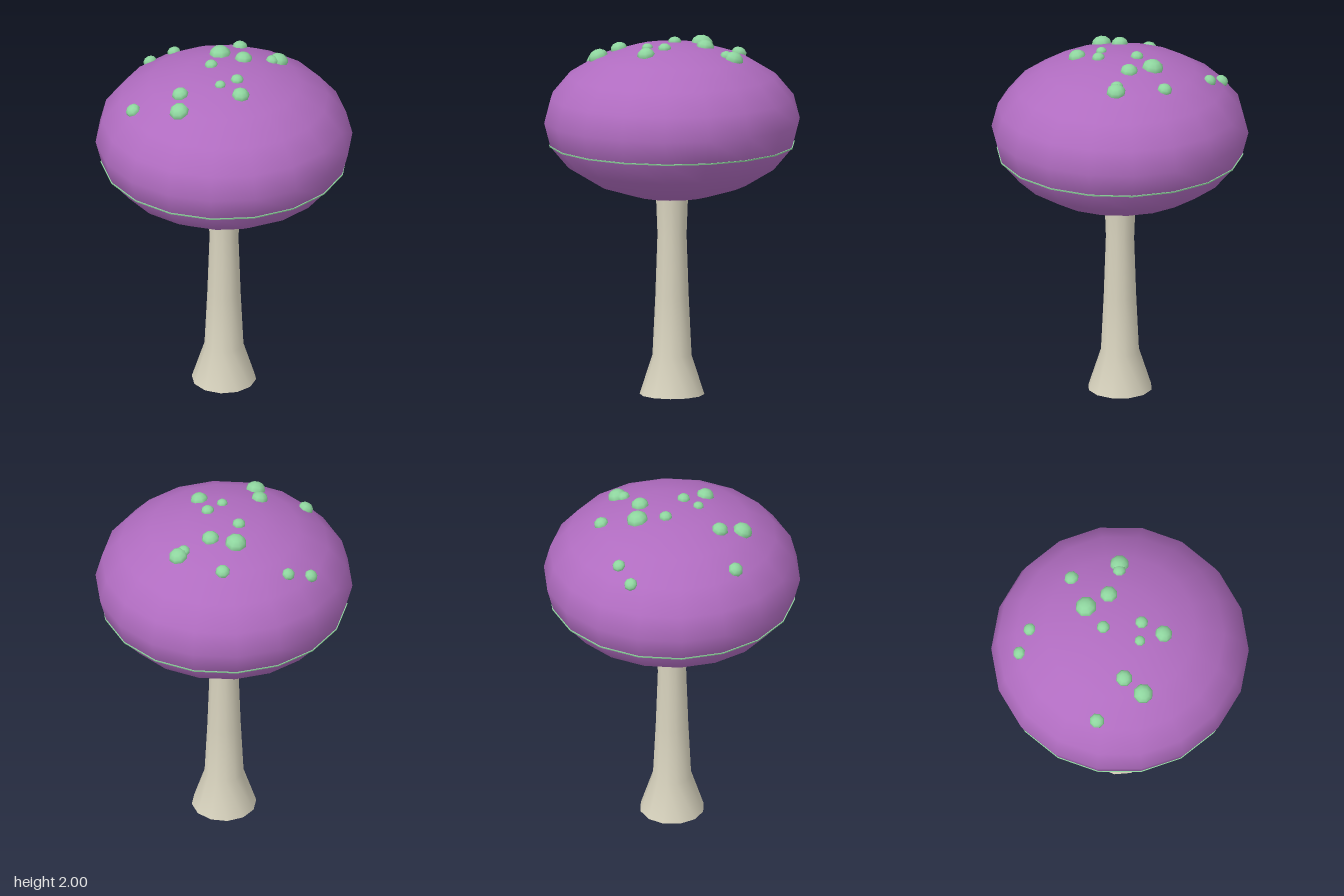
import * as THREE from 'three';

const material = (name, color, extra = {}) => {
  const m = new THREE.MeshStandardMaterial({ color, ...extra });
  m.name = name;
  return m;
};

const CAP_Y = 1.54, CAP_R = 0.715, CAP_H = 0.435;

export function createModel() {
  const purple = material('cap purple', 0xb06cc0);
  const green = material('spot green', 0x8fd69f);
  const cream = material('stem cream', 0xd8d3be);
  const group = new THREE.Group();
  const add = (name, geometry, mat) => {
    const mesh = new THREE.Mesh(geometry, mat);
    mesh.name = name;
    group.add(mesh);
    return mesh;
  };

  // Flared stem: closed base, top buried in the cap
  const profile = [[0.18, 0], [0.109, 0.22], [0.093, 0.55], [0.081, 0.9], [0.089, 1.11], [0.09, 1.18]]
    .map(([r, y]) => new THREE.Vector2(r, y));
  add('stem', new THREE.LatheGeometry(profile, 12), cream);
  const base = add('stemBase', new THREE.CircleGeometry(0.18, 12), cream);
  base.rotation.set(Math.PI / 2, 0, Math.PI / 2);

  // Flattened cap, with a corner on the z axis
  const cap = new THREE.SphereGeometry(CAP_R, 18, 10);
  cap.rotateY(Math.PI / 2);
  cap.scale(1, CAP_H / CAP_R, 1);
  cap.translate(0, CAP_Y, 0);
  add('cap', cap, purple);

  // Thin rim line under the widest part
  const rim = add('capRim', new THREE.CylinderGeometry(0.687, 0.685, 0.008, 18), green);
  rim.position.y = 1.408;

  // Spots as [x, z, radius], seated on the cap and tilted along its normal
  const spots = [
    [0.08, -0.565, 0.038], [0.175, -0.47, 0.037], [-0.45, -0.297, 0.043],
    [-0.30, -0.083, 0.047], [-0.41, -0.01, 0.056], [0.01, -0.095, 0.037],
    [0.16, -0.143, 0.061], [0.365, -0.155, 0.042], [0.185, 0, 0.05],
    [0.31, 0.107, 0.037], [0.35, 0.122, 0.054], [-0.133, 0.07, 0.031],
    [-0.035, 0.115, 0.037], [-0.133, 0.21, 0.05],
  ];
  const spotGeometry = new THREE.SphereGeometry(1, 8, 6);
  const up = new THREE.Vector3(0, 1, 0);
  spots.forEach(([x, z, r], i) => {
    const h = CAP_H * Math.sqrt(1 - (x * x + z * z) / CAP_R ** 2);
    const normal = new THREE.Vector3(x / CAP_R ** 2, h / CAP_H ** 2, z / CAP_R ** 2).normalize();
    const spot = add(`spot${i + 1}`, spotGeometry, green);
    spot.position.set(x, CAP_Y + h - 0.004, z);
    spot.quaternion.setFromUnitVectors(up, normal);
    spot.scale.set(r, r * 0.8, r);
  });

  return group;
}
